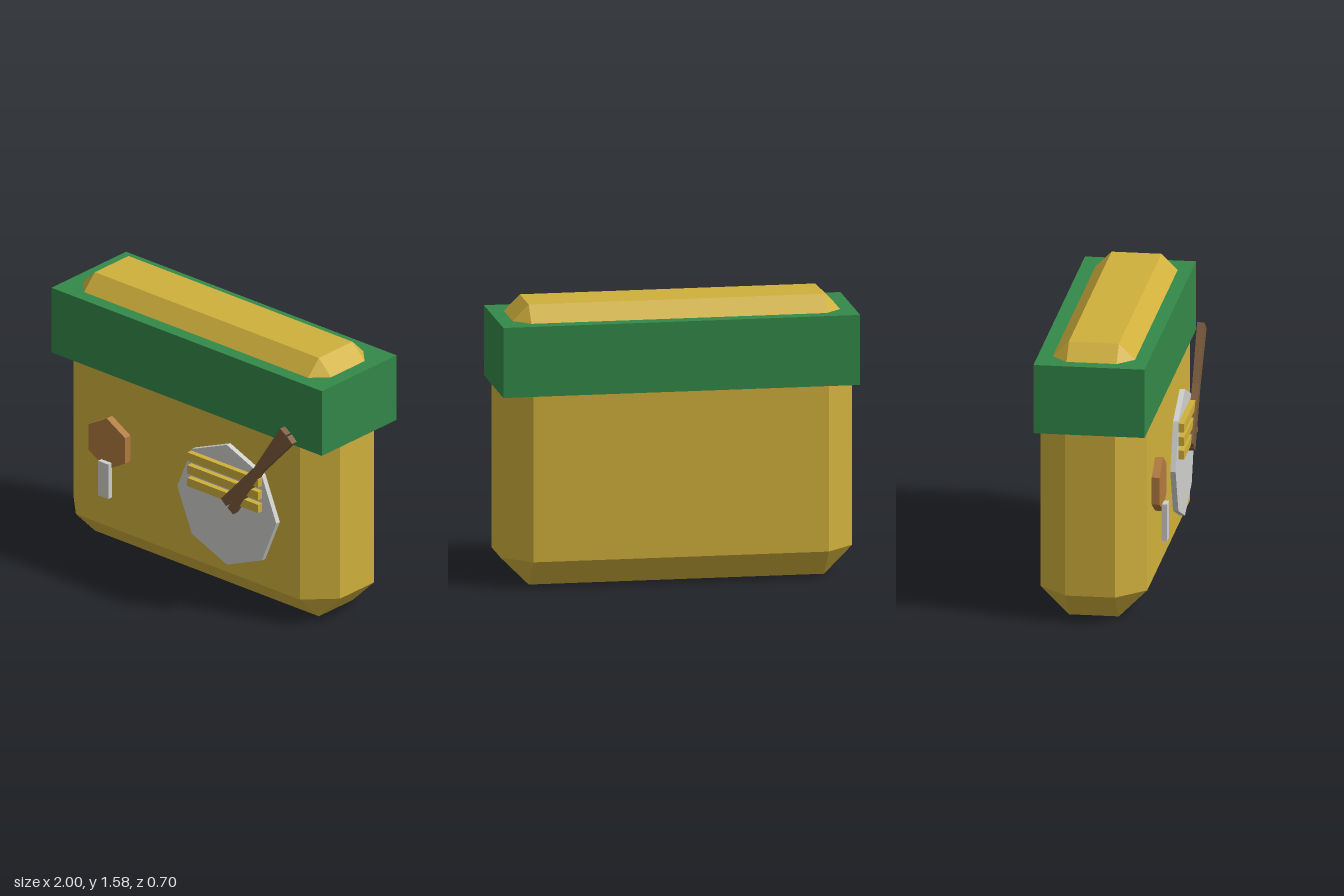
import * as THREE from 'three';
import { ConvexGeometry } from 'three/addons/geometries/ConvexGeometry.js';

const makeMaterial = (name, color) => {
  const m = new THREE.MeshStandardMaterial({ color, flatShading: true });
  m.name = name;
  return m;
};

// Box with every edge and corner cut off by the same chamfer
function chamferedBox(w, h, d, c) {
  const points = [];
  for (const sx of [-1, 1]) for (const sy of [-1, 1]) for (const sz of [-1, 1]) {
    const x = w / 2, y = h / 2, z = d / 2;
    points.push(
      new THREE.Vector3(sx * x, sy * (y - c), sz * (z - c)),
      new THREE.Vector3(sx * (x - c), sy * y, sz * (z - c)),
      new THREE.Vector3(sx * (x - c), sy * (y - c), sz * z));
  }
  return new ConvexGeometry(points);
}

export function createModel() {
  const gold = makeMaterial('gold', 0xd0b03c);
  const green = makeMaterial('green', 0x338849);
  const tan = makeMaterial('warm brown', 0xb07a3e);
  const grey = makeMaterial('light grey', 0xcfcfcc);
  const wood = makeMaterial('dark wood', 0x795939);

  const model = new THREE.Group();
  const add = (name, geometry, material, x, y, z) => {
    const mesh = new THREE.Mesh(geometry, material);
    mesh.name = name;
    mesh.position.set(x, y, z);
    model.add(mesh);
    return mesh;
  };
  // Box given by its limits on each axis
  const block = (name, material, [x0, x1], [y0, y1], [z0, z1]) =>
    add(name, new THREE.BoxGeometry(x1 - x0, y1 - y0, z1 - z0), material,
      (x0 + x1) / 2, (y0 + y1) / 2, (z0 + z1) / 2);
  // Polygon disc facing forward with a corner at the top
  const disc = (name, material, r, sides, x, y, z0, z1) =>
    add(name, new THREE.CylinderGeometry(r, r, z1 - z0, sides).rotateX(Math.PI / 2),
      material, x, y, (z0 + z1) / 2);

  // Case and the band around its top
  add('body', chamferedBox(1.972, 1.58, 0.595, 0.158), gold, 0, 0.79, -0.0375);
  block('band', green, [-1, 1], [1.095, 1.49], [-0.35, 0.27]);

  // Drumstick emblem
  disc('drumstickMeat', tan, 0.156, 6, -0.555, 0.69, 0.265, 0.31);
  block('drumstickBone', grey, [-0.594, -0.519], [0.374, 0.585], [0.305, 0.338]);

  // Plate with noodles
  disc('plate', grey, 0.366, 8, 0.328, 0.596, 0.275, 0.305);
  for (const y of [0.664, 0.742, 0.82])
    block('noodle', gold, [0.065, 0.59], [y - 0.025, y + 0.025], [0.303, 0.338]);

  // Crossed chopsticks
  for (const [x0, y0, x1, y1] of [[0.343, 0.632, 0.832, 1.165], [0.394, 0.594, 0.783, 1.201]]) {
    const length = Math.hypot(x1 - x0, y1 - y0);
    const stick = add('chopstick', new THREE.BoxGeometry(length, 0.05, 0.04), wood,
      (x0 + x1) / 2, (y0 + y1) / 2, 0.33);
    stick.rotation.z = Math.atan2(y1 - y0, x1 - x0);
  }
  return model;
}
